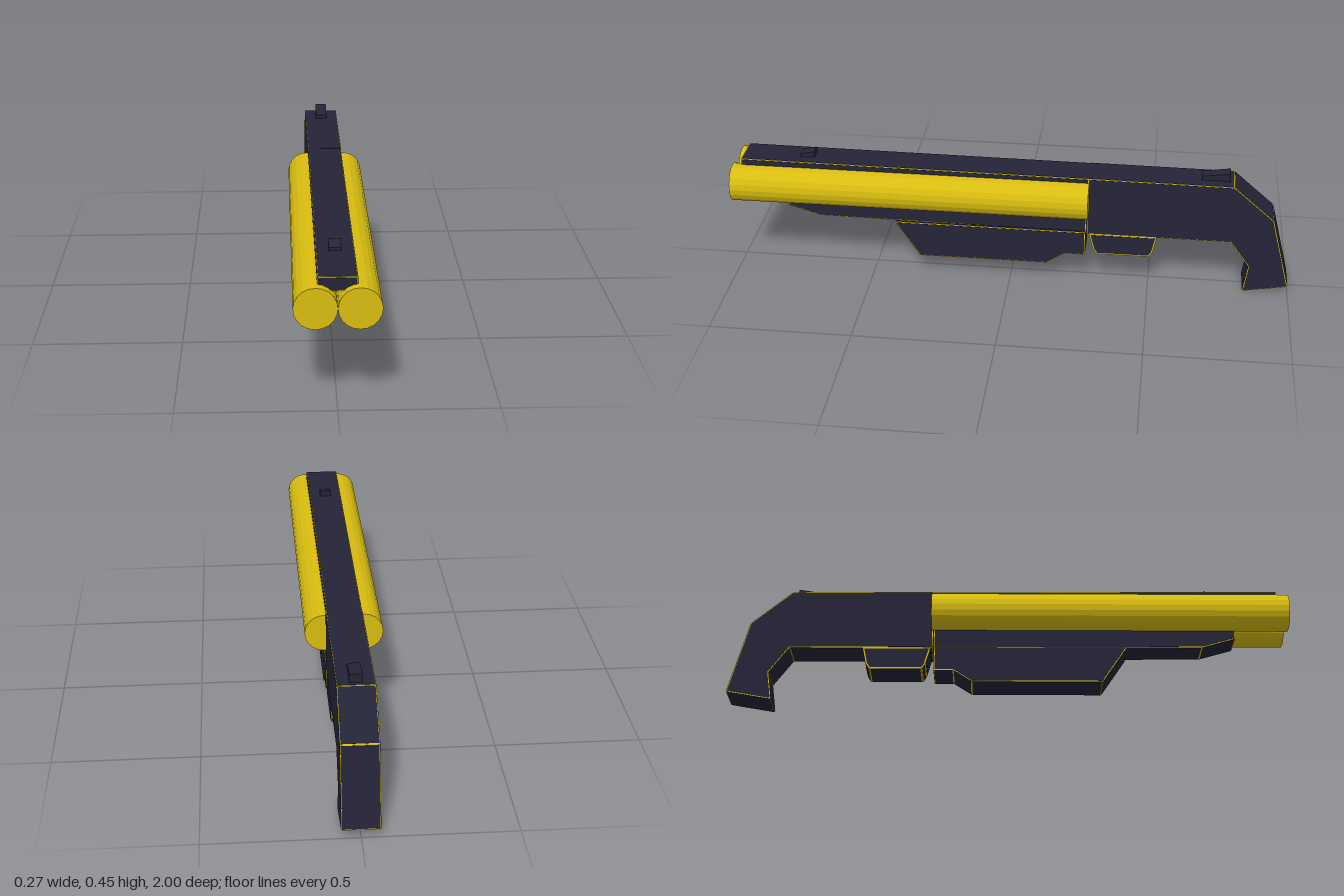
import * as THREE from 'three';

const gold = new THREE.MeshStandardMaterial({ color: 0xd8bc10 });
gold.name = 'gold';
const dark = new THREE.MeshStandardMaterial({ color: 0x242437 });
dark.name = 'dark blue grey';

// Extrudes a [z, y] side profile symmetrically across x
function slab(name, pts, halfWidth, material) {
  const shape = new THREE.Shape(pts.map(([z, y]) => new THREE.Vector2(z, y)));
  const geo = new THREE.ExtrudeGeometry(shape, { depth: 2 * halfWidth, bevelEnabled: false });
  geo.translate(0, 0, -halfWidth).rotateY(-Math.PI / 2);
  const mesh = new THREE.Mesh(geo, material);
  mesh.name = name;
  return mesh;
}

// Moves every side of a profile inward by t
function inset(pts, t) {
  const v = pts.map(([z, y]) => new THREE.Vector2(z, y));
  const s = THREE.ShapeUtils.isClockWise(v) ? -1 : 1;
  return v.map((p, i) => {
    const a = p.clone().sub(v[(i + v.length - 1) % v.length]).normalize();
    const b = v[(i + 1) % v.length].clone().sub(p).normalize();
    const n1 = new THREE.Vector2(-a.y, a.x).multiplyScalar(s);
    const n2 = new THREE.Vector2(-b.y, b.x).multiplyScalar(s);
    const k = t / (1 + n1.dot(n2));
    return [p.x + (n1.x + n2.x) * k, p.y + (n1.y + n2.y) * k];
  });
}

// Gold core with dark panels on each face, leaving thin gold edges
function trimmed(name, pts, w, t = 0.003) {
  const g = new THREE.Group();
  g.name = name;
  g.add(slab(name + 'Trim', pts, w - 0.001, gold));
  g.add(slab(name + 'SidePanels', inset(pts, t), w, dark));
  pts.forEach(([z, y], i) => {
    const [z2, y2] = pts[(i + 1) % pts.length];
    const len = Math.hypot(z2 - z, y2 - y);
    const panel = new THREE.Mesh(new THREE.BoxGeometry(2 * (w - t), 0.002, len - 2 * t), dark);
    panel.position.set(0, (y + y2) / 2, (z + z2) / 2);
    panel.rotation.x = -Math.atan2(y2 - y, z2 - z);
    panel.name = name + 'EdgePanel';
    g.add(panel);
  });
  return g;
}

export function createModel() {
  const model = new THREE.Group();
  model.name = 'doubleBarrel';

  // Twin barrels
  for (const side of [-1, 1]) {
    const geo = new THREE.CylinderGeometry(0.0675, 0.0675, 1.28, 20).toNonIndexed();
    geo.rotateX(Math.PI / 2);
    geo.computeVertexNormals();
    const barrel = new THREE.Mesh(geo, gold);
    barrel.position.set(side * 0.0675, 0.341, 0.36);
    barrel.name = side > 0 ? 'leftBarrel' : 'rightBarrel';
    model.add(barrel);
  }

  // Receiver and curved grip in one piece
  model.add(trimmed('receiverAndGrip', [
    [-0.275, 0.202], [-0.275, 0.425], [-0.785, 0.422], [-0.93, 0.297],
    [-0.999, 0.03], [-0.84, 0.002], [-0.855, 0.105], [-0.785, 0.202],
  ], 0.0625));

  // Top rib, lug under the barrels, fore grip and lower guard
  model.add(trimmed('topRib', [[0.968, 0.385], [0.968, 0.431], [-0.29, 0.424], [-0.29, 0.385]], 0.0615));
  model.add(trimmed('barrelLug', [
    [0.81, 0.285], [0.81, 0.246], [0.69, 0.211], [-0.272, 0.203], [-0.272, 0.285],
  ], 0.053));
  model.add(trimmed('foreGrip', [
    [0.42, 0.207], [0.33, 0.072], [-0.135, 0.072], [-0.2, 0.115], [-0.27, 0.115], [-0.27, 0.207],
  ], 0.0625));
  model.add(trimmed('lowerGuard', [
    [-0.283, 0.203], [-0.525, 0.203], [-0.512, 0.14], [-0.5, 0.121], [-0.312, 0.121], [-0.3, 0.14],
  ], 0.0615, 0.005));

  // Sights
  model.add(slab('frontSight', [[0.76, 0.425], [0.76, 0.441], [0.71, 0.453], [0.71, 0.425]], 0.02, dark));
  model.add(slab('rearSight', [[-0.67, 0.42], [-0.67, 0.438], [-0.77, 0.453], [-0.77, 0.42]], 0.021, dark));

  return model;
}
